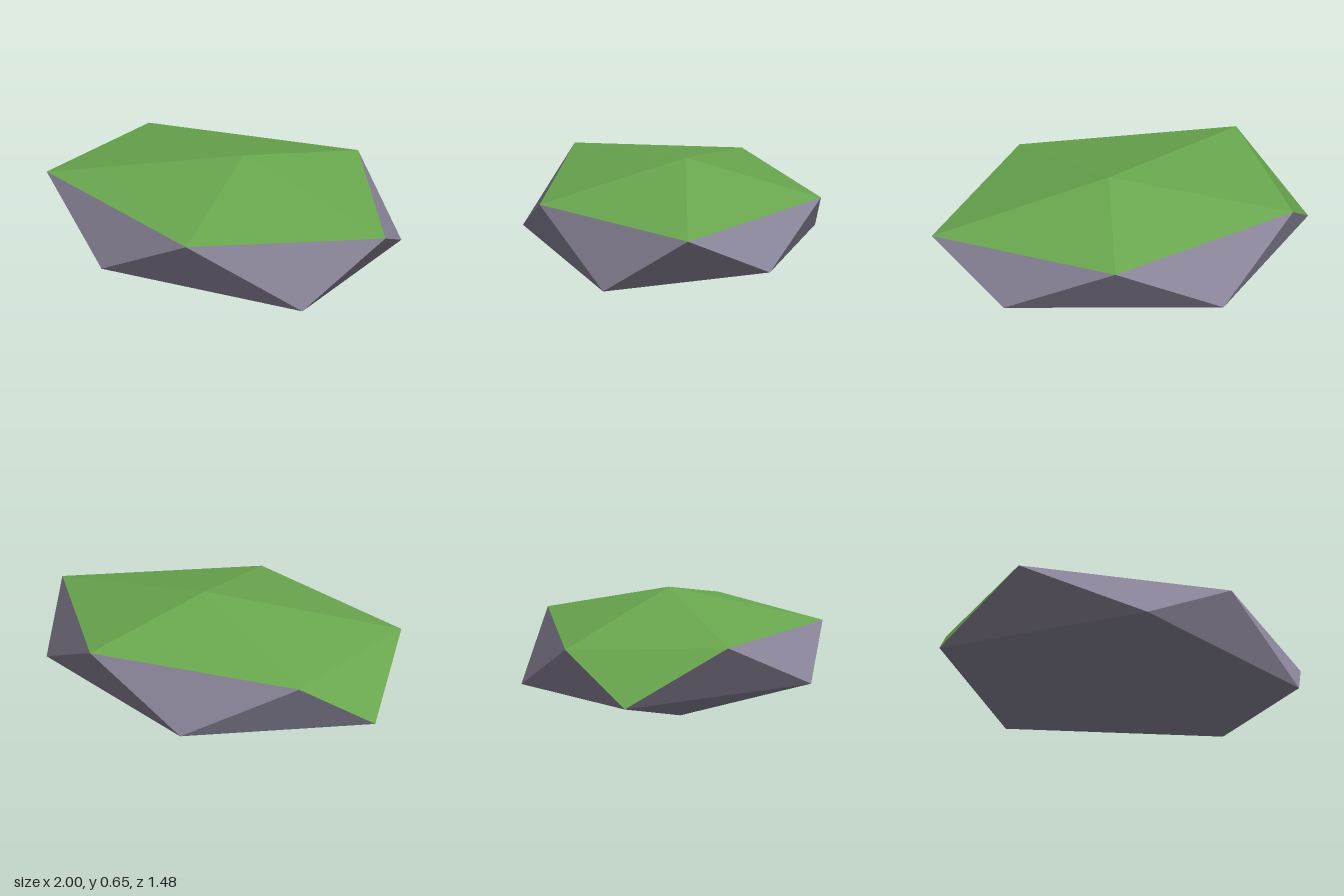
import * as THREE from 'three';

// Corners of the boulder; rings run anticlockwise seen from above,
// each lower corner sitting between two upper ones.
const peak = [0.07, 0.65, -0.06];
const upper = [[1, 0.47, 0], [0.29, 0.49, -0.725], [-0.785, 0.46, -0.41], [-0.8, 0.5, 0.43], [0.265, 0.475, 0.69]];
const lower = [[0.78, 0.24, -0.43], [-0.285, 0.19, -0.74], [-1, 0.205, -0.06], [-0.23, 0.235, 0.735], [0.785, 0.16, 0.41]];
const base = [0.05, 0, 0.005];

function facetedMesh(name, triangles, material) {
  const geometry = new THREE.BufferGeometry();
  geometry.setAttribute('position', new THREE.Float32BufferAttribute(triangles.flat(2), 3));
  geometry.computeVertexNormals();
  const mesh = new THREE.Mesh(geometry, material);
  mesh.name = name;
  return mesh;
}

export function createModel() {
  const moss = new THREE.MeshStandardMaterial({ color: 0x6aa84f, flatShading: true });
  moss.name = 'moss green';
  const stone = new THREE.MeshStandardMaterial({ color: 0x8a8599, flatShading: true });
  stone.name = 'stone grey';

  const mossFaces = [], stoneFaces = [];
  const mossySide = 2; // the one side facet the moss spills over
  for (let i = 0; i < 5; i++) {
    const j = (i + 1) % 5;
    mossFaces.push([peak, upper[i], upper[j]]);
    (i === mossySide ? mossFaces : stoneFaces).push([upper[i], lower[i], upper[j]]);
    stoneFaces.push([lower[i], lower[j], upper[j]], [lower[j], lower[i], base]);
  }

  const rock = new THREE.Group();
  rock.name = 'mossyRock';
  rock.add(facetedMesh('mossCap', mossFaces, moss), facetedMesh('stoneBody', stoneFaces, stone));
  return rock;
}
